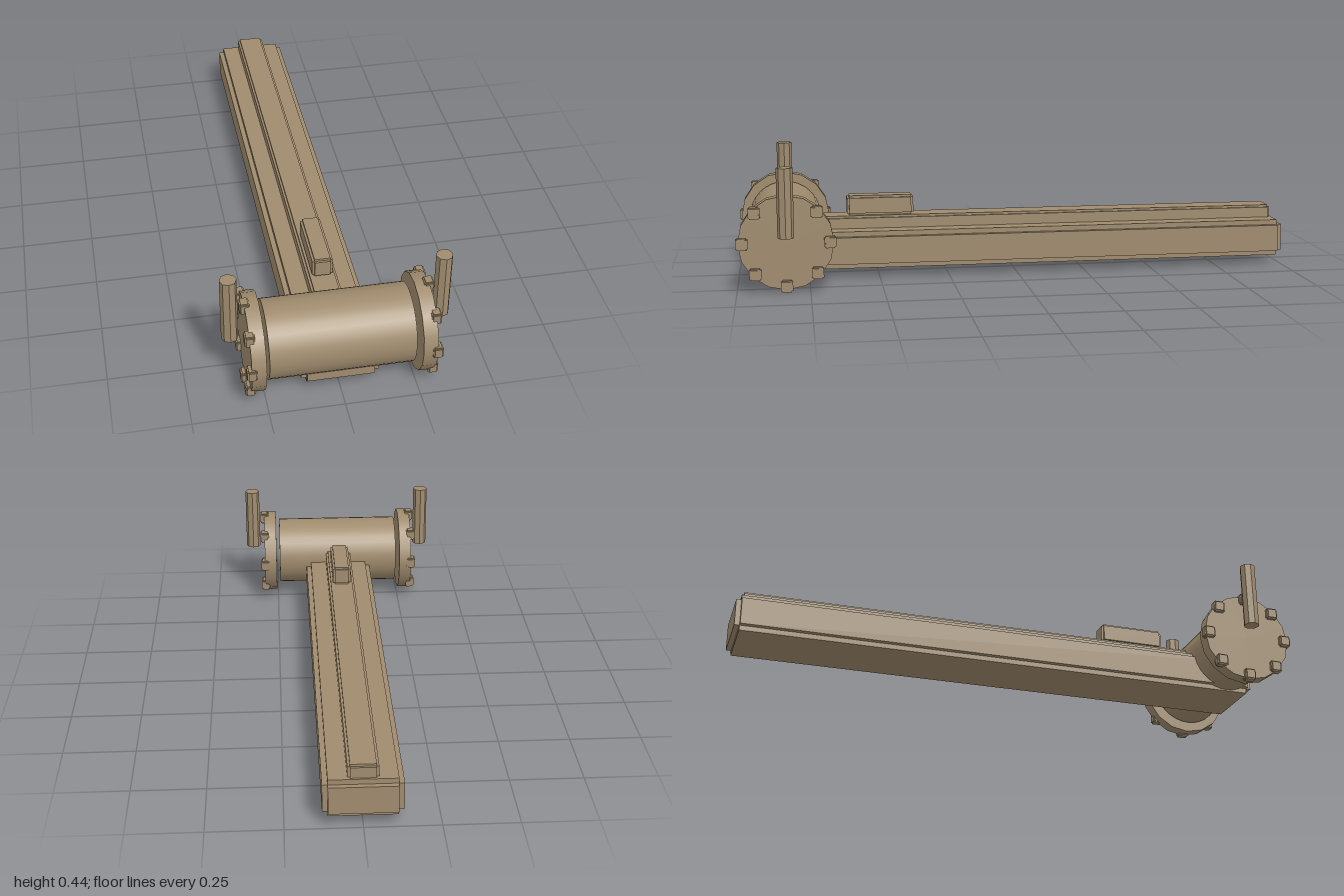
import * as THREE from 'three';

const material = new THREE.MeshStandardMaterial({ color: 0xa08c6e });

function addMesh(parent, name, geometry, x, y, z) {
  const mesh = new THREE.Mesh(geometry, material);
  mesh.name = name;
  mesh.position.set(x, y, z);
  parent.add(mesh);
  return mesh;
}

// Block with stepped edges: three crossing boxes, each full size along one axis
function steppedBlock(parent, name, w, h, d, step, x, y, z) {
  const block = new THREE.Group();
  block.name = name;
  block.position.set(x, y, z);
  const s = step * 2;
  addMesh(block, name + 'Sides', new THREE.BoxGeometry(w, h - s, d - s), 0, 0, 0);
  addMesh(block, name + 'TopBottom', new THREE.BoxGeometry(w - s, h, d - s), 0, 0, 0);
  addMesh(block, name + 'Ends', new THREE.BoxGeometry(w - s, h - s, d), 0, 0, 0);
  parent.add(block);
  return block;
}

export function createModel() {
  const model = new THREE.Group();
  model.name = 'drumHammer';
  const cy = 0.17, cz = 0.83; // drum axis

  // Long beam with a raised rail and a small block on top
  steppedBlock(model, 'beam', 0.26, 0.133, 1.929, 0.018, 0, 0.1, -0.0355);
  steppedBlock(model, 'rail', 0.1, 0.06, 1.74, 0.008, 0, 0.182, -0.105);
  steppedBlock(model, 'railBlock', 0.07, 0.072, 0.24, 0.008, 0, 0.247, 0.49);

  // Drum lying across the beam
  const drum = new THREE.CylinderGeometry(0.132, 0.132, 0.48, 32).rotateZ(Math.PI / 2);
  addMesh(model, 'drum', drum, 0, cy, cz);

  // End plates with bolts and upright handles on both sides
  const plate = new THREE.CylinderGeometry(0.164, 0.164, 0.048, 16).rotateZ(Math.PI / 2);
  const handle = new THREE.CylinderGeometry(0.028, 0.028, 0.24, 8);
  for (const [label, side] of [['left', 1], ['right', -1]]) {
    addMesh(model, label + 'EndPlate', plate, side * 0.278, cy, cz);
    for (let i = 0; i < 8; i++) {
      const a = (i * Math.PI) / 4;
      steppedBlock(model, label + 'Bolt', 0.033, 0.041, 0.041, 0.0045,
        side * 0.301, cy + 0.15 * Math.sin(a), cz + 0.15 * Math.cos(a));
    }
    const grip = addMesh(model, label + 'Handle', handle, side * 0.349, 0.316, cz);
    grip.material = material.clone();
    grip.material.flatShading = true;
  }
  return model;
}
